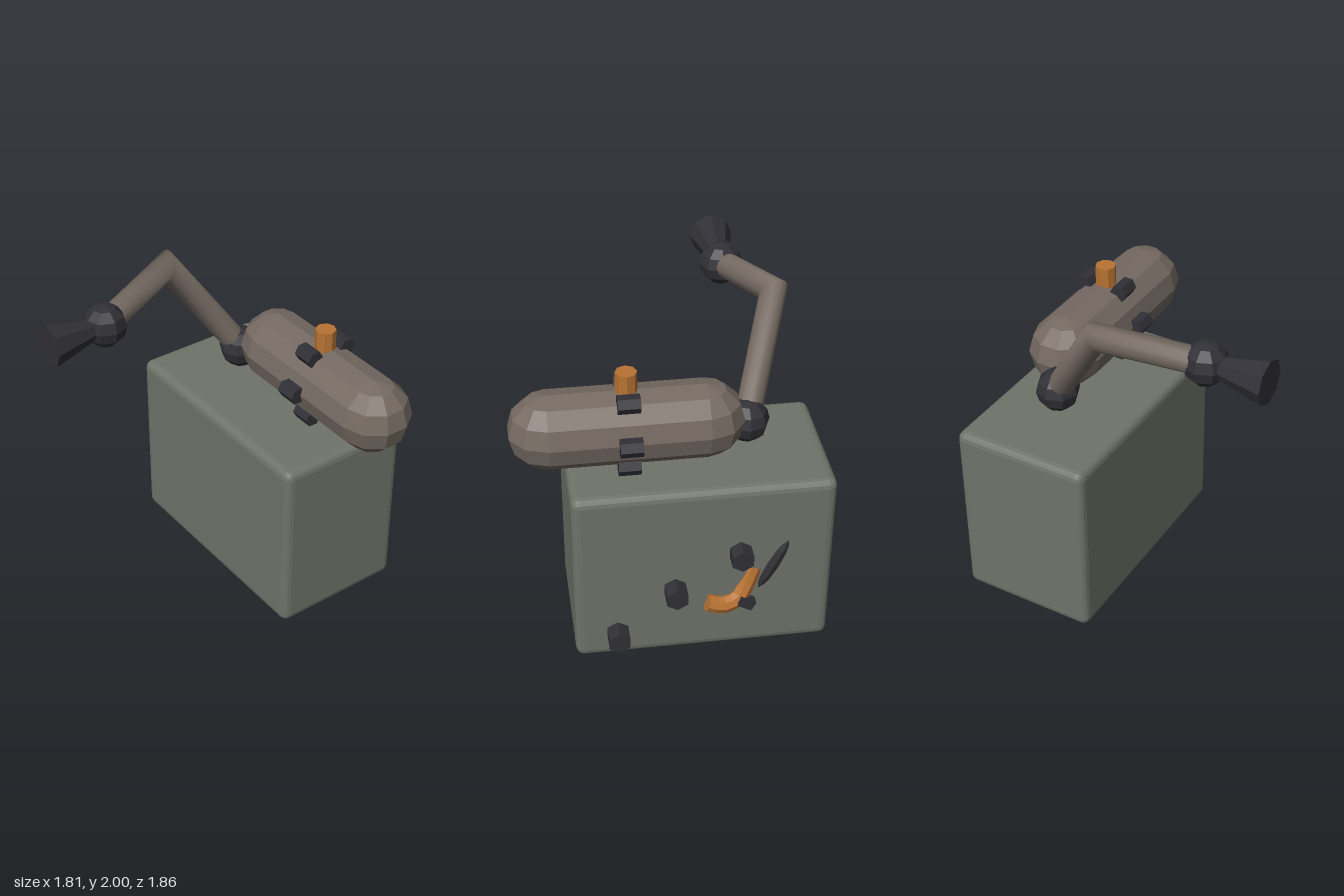
import * as THREE from 'three';
import { RoundedBoxGeometry } from 'three/addons/geometries/RoundedBoxGeometry.js';

const mat = (color, flatShading = true, side = THREE.FrontSide) =>
  new THREE.MeshStandardMaterial({ color, flatShading, side });

// Tube along a polyline, with a mitred ring at each bend
function mitredTube(points, radius, sides) {
  const pos = [], index = [];
  const dirs = points.slice(1).map((p, i) => p.clone().sub(points[i]).normalize());
  const normal = new THREE.Vector3().crossVectors(dirs[0], dirs[1]).normalize();
  points.forEach((p, i) => {
    const a = dirs[Math.max(i - 1, 0)], b = dirs[Math.min(i, dirs.length - 1)];
    const across = new THREE.Vector3().crossVectors(a.clone().add(b).normalize(), normal);
    const stretch = radius / Math.cos(a.angleTo(b) / 2);
    for (let k = 0; k < sides; k++) {
      const t = (k / sides) * Math.PI * 2;
      const v = p.clone().addScaledVector(normal, Math.cos(t) * radius)
        .addScaledVector(across, Math.sin(t) * stretch);
      pos.push(v.x, v.y, v.z);
      if (i === 0) continue;
      const n = (k + 1) % sides, r0 = (i - 1) * sides, r1 = i * sides;
      index.push(r0 + k, r1 + n, r1 + k, r0 + k, r0 + n, r1 + n);
    }
  });
  const geo = new THREE.BufferGeometry();
  geo.setAttribute('position', new THREE.Float32BufferAttribute(pos, 3));
  geo.setIndex(index);
  geo.computeVertexNormals();
  return geo;
}

export function createModel() {
  const model = new THREE.Group();
  model.name = 'tankBackpack';
  const grey = mat(0x6f7369), brown = mat(0x756a62), dark = mat(0x303036);
  const copper = mat(0xb87333);

  const add = (name, geometry, material, x, y, z, parent = model) => {
    const mesh = new THREE.Mesh(geometry, material);
    mesh.name = name;
    mesh.position.set(x, y, z);
    parent.add(mesh);
    return mesh;
  };

  // Main case
  add('case', new RoundedBoxGeometry(1.5, 1.14, 0.85, 2, 0.05), grey, -0.155, 0.57, -0.395);

  // Lying tank with round ends
  const tank = new THREE.Group();
  tank.name = 'tank';
  tank.position.set(0.245, 1.42, -0.495);
  model.add(tank);
  const r = 0.223;
  add('tankBody', new THREE.CylinderGeometry(r, r, 0.89, 12).rotateZ(Math.PI / 2), brown, 0, 0, 0, tank);
  for (const s of [-1, 1]) {
    add('tankEnd', new THREE.SphereGeometry(r, 10, 6).rotateY(Math.PI / 2), brown, s * 0.445, 0, 0, tank);
  }

  // Hexagonal lugs around the tank
  const lug = new THREE.CylinderGeometry(0.054, 0.054, 0.127, 6).rotateZ(Math.PI / 2);
  for (let i = 0; i < 6; i++) {
    const a = (i * Math.PI) / 3;
    add('tankLug', lug, dark, 0, 0.237 * Math.sin(a), 0.237 * Math.cos(a), tank);
  }

  // Filler neck on top
  add('fillerNeck', new THREE.CylinderGeometry(0.062, 0.062, 0.2, 8), copper, 0, 0.24, 0, tank);

  // Bent arm between two ball joints
  const base = new THREE.Vector3(-0.455, 1.32, -0.4);
  const elbow = new THREE.Vector3(-0.66, 1.92, -0.005);
  const wrist = new THREE.Vector3(-0.455, 1.82, 0.555);
  add('arm', mitredTube([base, elbow, wrist], 0.077, 14), mat(0x756a62, false, THREE.DoubleSide), 0, 0, 0);
  const ball = new THREE.SphereGeometry(0.13, 8, 6);
  add('baseJoint', ball, dark, base.x, base.y, base.z);
  add('wristJoint', ball, dark, wrist.x, wrist.y, wrist.z);

  // Flared nozzle facing forward
  add('nozzle', new THREE.CylinderGeometry(0.132, 0.055, 0.33, 8).rotateX(Math.PI / 2),
    dark, wrist.x, wrist.y, 0.765);

  // Knobs stepping up the back
  const knob = new THREE.CylinderGeometry(0.07, 0.07, 0.13, 6).rotateX(Math.PI / 2);
  for (const [x, y, z] of [[0.35, 0.18, -0.865], [0.015, 0.47, -0.865], [-0.36, 0.7, -0.85]]) {
    add('knob', knob, dark, x, y, z);
  }

  // Curved horn half sunk in the back, with capped ends
  const path = new THREE.CatmullRomCurve3([
    [-0.17, 0.365, -0.845], [-0.26, 0.335, -0.843], [-0.35, 0.36, -0.825],
    [-0.405, 0.45, -0.8], [-0.45, 0.57, -0.785],
  ].map((p) => new THREE.Vector3(...p)));
  add('horn', new THREE.TubeGeometry(path, 8, 0.053, 8), copper, 0, 0, 0);
  const end = add('hornEnd', new THREE.CircleGeometry(0.053, 8), copper, -0.17, 0.365, -0.845);
  end.lookAt(end.position.clone().sub(path.getTangent(0)));

  // Dark clip on the horn
  add('hornClip', new THREE.BoxGeometry(0.1, 0.06, 0.1), dark, -0.395, 0.35, -0.83).rotation.z = 0.5;

  // Slim handle blade beside the horn
  const blade = add('blade', new THREE.SphereGeometry(1, 8, 6), dark, -0.555, 0.585, -0.8);
  blade.scale.set(0.045, 0.21, 0.042);
  blade.rotation.z = 0.46;

  return model;
}
